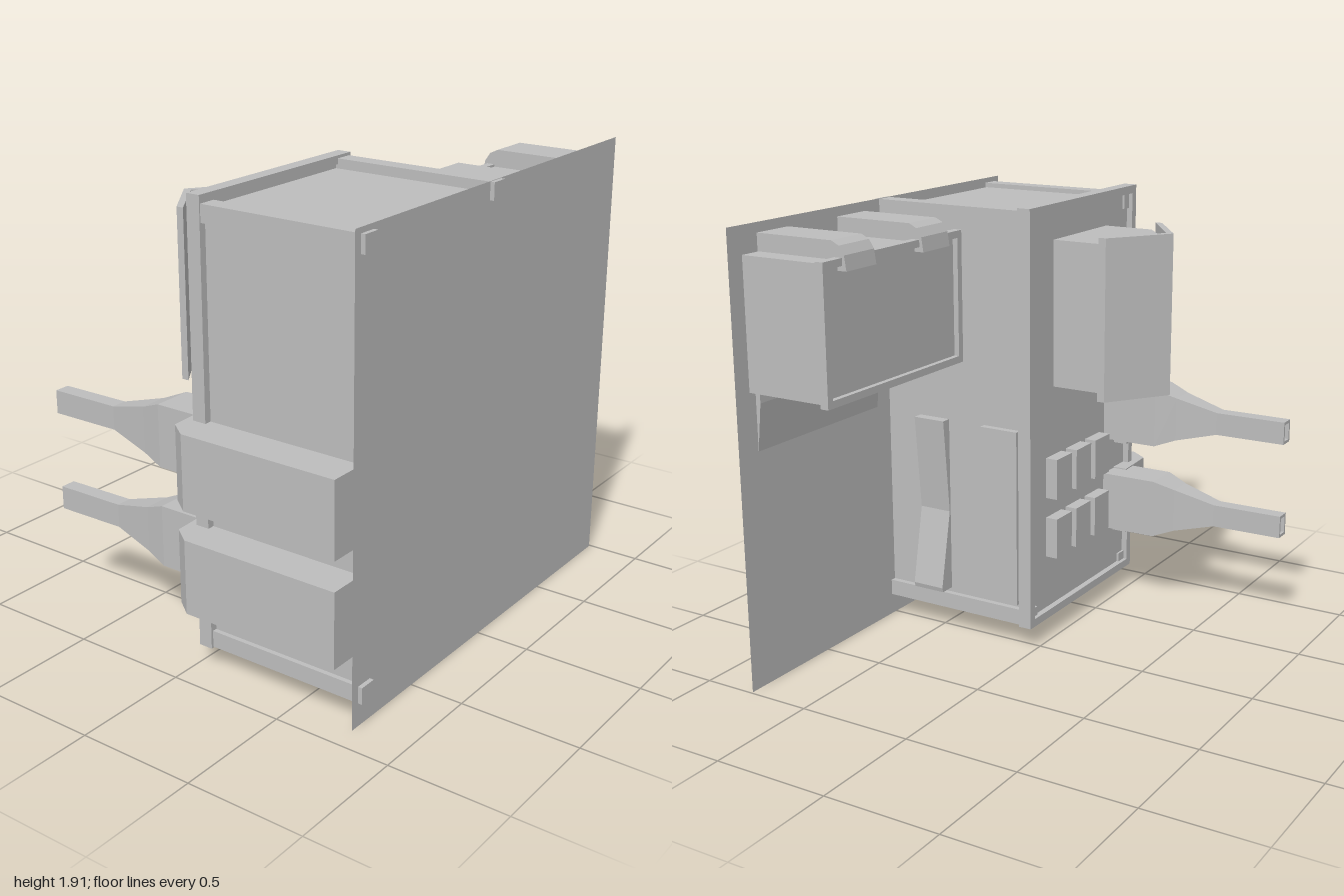
import * as THREE from 'three';

const grey = new THREE.MeshStandardMaterial({ color: 0xbdbdbd });
grey.name = 'plain grey';
grey.side = THREE.DoubleSide;

export function createModel() {
  const model = new THREE.Group();

  const add = (name, geometry) => {
    const mesh = new THREE.Mesh(geometry, grey);
    mesh.name = name;
    model.add(mesh);
    return mesh;
  };
  // Box given by its limits
  const box = (name, x0, x1, y0, y1, z0, z1) =>
    add(name, new THREE.BoxGeometry(x1 - x0, y1 - y0, z1 - z0)
      .translate((x0 + x1) / 2, (y0 + y1) / 2, (z0 + z1) / 2));
  const shapeOf = (pts) => new THREE.Shape(pts.map(([a, b]) => new THREE.Vector2(a, b)));
  const extrude = (shape, depth) =>
    new THREE.ExtrudeGeometry(shape, { depth, bevelEnabled: false });
  // Profile of (x, z) points swept along y
  const sweepY = (name, pts, y0, y1) =>
    add(name, extrude(shapeOf(pts), y1 - y0).rotateX(Math.PI / 2).translate(0, y1, 0));
  // Profile of (z, y) points swept along x
  const sweepX = (name, pts, x0, x1) =>
    add(name, extrude(shapeOf(pts.map(([z, y]) => [-z, y])), x1 - x0)
      .rotateY(Math.PI / 2).translate(x0, 0, 0));
  // Rectangular rim around a flat roof
  const rim = (name, x0, x1, y0, y1, z0, z1, w) => {
    const s = shapeOf([[x0, y0], [x1, y0], [x1, y1], [x0, y1]]);
    s.holes.push(new THREE.Path([[x0 + w, y0 + w], [x0 + w, y1 - w], [x1 - w, y1 - w], [x1 - w, y0 + w]]
      .map(([a, b]) => new THREE.Vector2(a, b))));
    return add(name, extrude(s, z1 - z0).translate(0, 0, z0));
  };
  // Rectangular sections [z, x0, x1, y0, y1] joined towards -z, with an end cap
  const loft = (name, sections) => {
    const pos = [], idx = [];
    for (const [z, x0, x1, y0, y1] of sections) {
      pos.push(x0, y0, z, x1, y0, z, x1, y1, z, x0, y1, z);
    }
    for (let s = 0; s < sections.length - 1; s++) {
      for (let i = 0; i < 4; i++) {
        const a = s * 4 + i, b = s * 4 + (i + 1) % 4;
        idx.push(a, b + 4, b, a, a + 4, b + 4);
      }
    }
    const e = (sections.length - 1) * 4;
    idx.push(e, e + 3, e + 2, e, e + 2, e + 1);
    const g = new THREE.BufferGeometry();
    g.setAttribute('position', new THREE.Float32BufferAttribute(pos, 3));
    g.setIndex(idx);
    const flat = g.toNonIndexed();
    flat.computeVertexNormals();
    return add(name, flat);
  };

  // Ground sheet
  add('groundSheet', new THREE.PlaneGeometry(1.89, 1.9).translate(0.047, 0.952, 0.772));

  // Main block with corner posts and roof rim
  box('mainBlock', -0.84, 0.015, 0.145, 1.86, 0.045, 0.765);
  rim('mainRim', -0.87, 0.05, 0.095, 1.912, 0.018, 0.078, 0.035);
  box('mainRoof', -0.85, 0.03, 0.115, 1.895, 0.045, 0.07);
  const posts = [[-0.865, 1.81, 0.79], [-0.035, 1.83, 0.79], [-0.86, 0.1, 0.79], [-0.035, 0.1, 0.765]];
  for (const [x, y, z] of posts) box('cornerPost', x, x + 0.075, y, y + 0.07, 0.035, z);

  // Side wing with rim and rounded straps
  box('wingBlock', 0.01, 0.92, 1.25, 1.79, 0.385, 0.765);
  rim('wingRim', 0.03, 0.94, 1.24, 1.8, 0.362, 0.398, 0.03);
  for (const x of [0.145, 0.64]) {
    sweepX('wingStrap', [[0.77, 1.77], [0.77, 1.862], [0.41, 1.862], [0.375, 1.845],
      [0.352, 1.81], [0.343, 1.75], [0.4, 1.75], [0.42, 1.77]], x, x + 0.185);
  }
  // Ramp at the foot of the wing
  sweepX('wingRamp', [[0.77, 1.25], [0.748, 1.25], [0.748, 1.2], [0.77, 1.0]], 0.1, 0.88);

  // Gabled roof house
  sweepY('houseWalls', [[-0.64, 0.05], [-0.64, -0.18], [-0.415, -0.362], [-0.185, -0.18], [-0.185, 0.05]],
    1.125, 1.755);
  sweepY('houseRoof', [[-0.655, -0.19], [-0.655, -0.222], [-0.415, -0.395], [-0.16, -0.215],
    [-0.16, -0.182], [-0.415, -0.36]], 1.095, 1.785);

  // Two chimneys, each fed by a duct bent over the roof edge
  for (const y of [0.91, 0.48]) {
    loft('chimney', [
      [0.05, -0.815, -0.642, y - 0.132, y + 0.13],
      [-0.21, -0.815, -0.645, y - 0.132, y + 0.13],
      [-0.3, -0.8, -0.682, y - 0.1, y + 0.095],
      [-0.485, -0.778, -0.71, y - 0.053, y + 0.047],
      [-0.8, -0.783, -0.717, y - 0.053, y + 0.047],
      [-0.8, -0.772, -0.728, y - 0.04, y + 0.034],
      [-0.75, -0.772, -0.728, y - 0.04, y + 0.034],
    ]);
    sweepY('roofDuct', [[-1, 0.765], [-1, 0.07], [-0.94, -0.01], [-0.74, -0.022],
      [-0.74, 0.06], [-0.83, 0.08], [-0.83, 0.765]], y - 0.175, y + 0.135);
  }

  // Two rows of roof vents
  for (const y of [0.37, 0.64]) {
    for (const x of [-0.255, -0.425, -0.595]) box('roofVent', x, x + 0.13, y, y + 0.18, -0.01, 0.05);
  }

  // Side buttress and pinched side panel
  box('sideButtress', 0, 0.045, 0.19, 0.97, 0.09, 0.27);
  add('sidePanel', extrude(shapeOf([[0, 0.19], [0.085, 0.19], [0.09, 0.21], [0.022, 0.55],
    [0.06, 0.97], [0, 0.97]]), 0.15).translate(0, 0, 0.45));

  // Stepped ribs under the main block
  for (const x of [-0.7, -0.47, -0.24]) {
    sweepX('lowerRib', [[0.765, 0.16], [0.765, 0.028], [0.61, 0.028], [0.55, 0.045],
      [0.37, 0.045], [0.335, 0.07], [0.335, 0.16]], x, x + 0.11);
  }
  return model;
}
